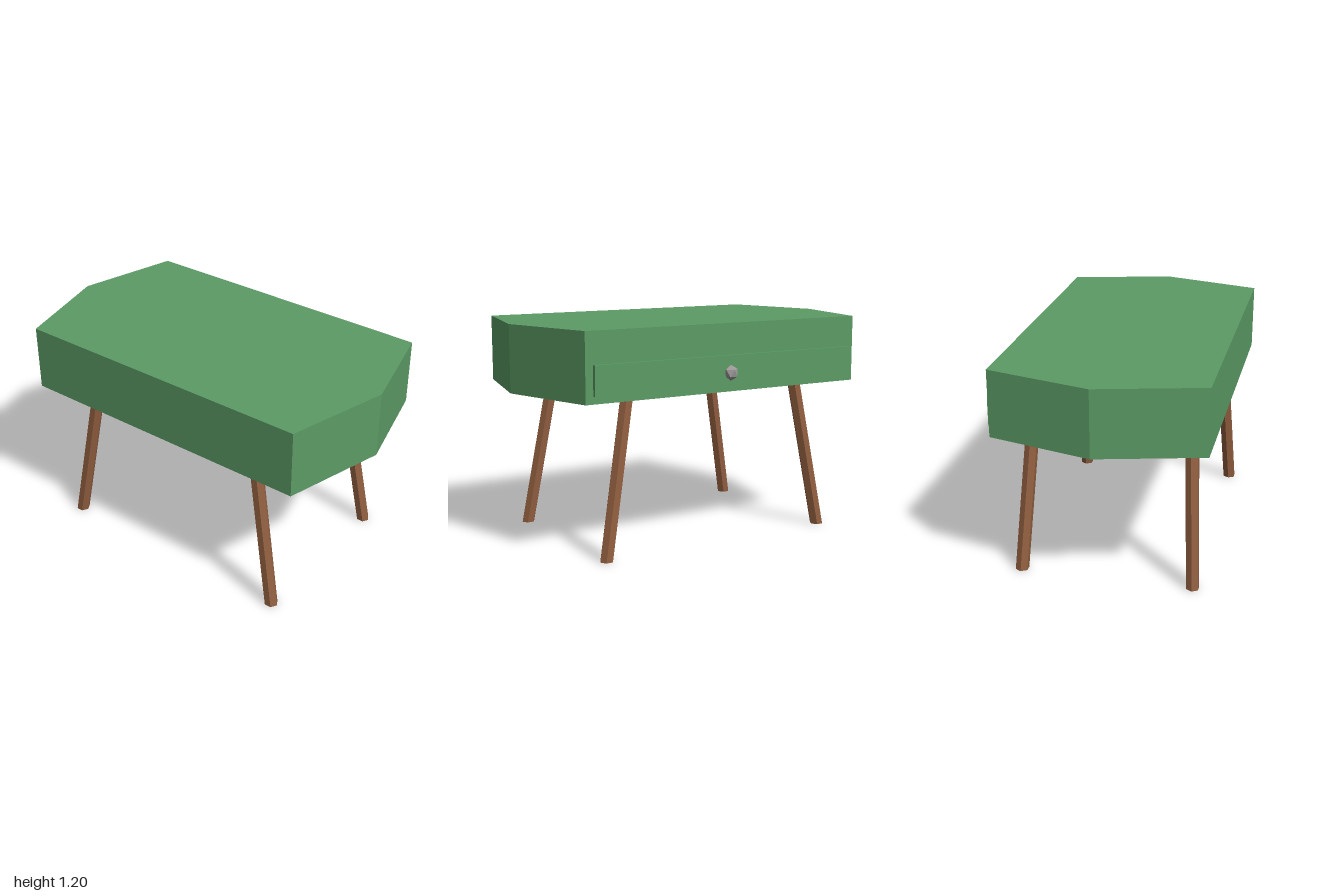
import * as THREE from 'three';

const green = new THREE.MeshStandardMaterial({ color: 0x5b9b65, flatShading: true });
green.name = 'greenPaint';
const brown = new THREE.MeshStandardMaterial({ color: 0x915f40, flatShading: true });
brown.name = 'brownWood';
const grey = new THREE.MeshStandardMaterial({ color: 0x9c9898, flatShading: true });
grey.name = 'greyMetal';

const CENTER_X = -0.03, BODY_BOTTOM = 0.84, BODY_TOP = 1.203;

function part(name, geometry, material, x = 0, y = 0, z = 0) {
  const mesh = new THREE.Mesh(geometry, material);
  mesh.name = name;
  mesh.position.set(x, y, z);
  return mesh;
}

// Six-sided leg, sheared outwards so both ends stay level
function legGeometry(sx, sz) {
  const g = new THREE.CylinderGeometry(0.0375, 0.0375, BODY_BOTTOM, 6);
  g.translate(0, BODY_BOTTOM / 2, 0);
  const p = g.attributes.position;
  for (let i = 0; i < p.count; i++) {
    const t = p.getY(i) / BODY_BOTTOM;
    p.setX(i, p.getX(i) + sx * THREE.MathUtils.lerp(0.47, 0.424, t));
    p.setZ(i, p.getZ(i) + sz * THREE.MathUtils.lerp(0.698, 0.545, t));
  }
  g.computeVertexNormals();
  return g;
}

export function createModel() {
  const table = new THREE.Group();
  table.name = 'drawerTable';

  // Hexagonal body with pointed ends
  const outline = new THREE.Shape([
    [-0.56, -0.855], [0, -1], [0.56, -0.855], [0.56, 0.855], [0, 1], [-0.56, 0.855],
  ].map(([x, y]) => new THREE.Vector2(x, y)));
  const bodyGeometry = new THREE.ExtrudeGeometry(outline, { depth: BODY_TOP - BODY_BOTTOM, bevelEnabled: false });
  bodyGeometry.rotateX(-Math.PI / 2);
  table.add(part('body', bodyGeometry, green, CENTER_X, BODY_BOTTOM, 0));

  // Drawer front, set slightly proud of the long side
  table.add(part('drawerFront', new THREE.BoxGeometry(0.04, 0.156, 1.624), green, 0.529, 0.957, 0));

  // Faceted knob with one corner pointing straight up
  const knobGeometry = new THREE.IcosahedronGeometry(0.043, 0);
  knobGeometry.rotateX(-Math.atan((1 + Math.sqrt(5)) / 2));
  knobGeometry.rotateY(Math.PI / 2);
  table.add(part('knob', knobGeometry, grey, 0.546, 0.942, 0));

  // Four splayed legs
  for (const [sx, side] of [[1, 'Left'], [-1, 'Right']]) {
    for (const [sz, end] of [[1, 'front'], [-1, 'back']]) {
      table.add(part(`${end}${side}Leg`, legGeometry(sx, sz), brown, CENTER_X, 0, 0));
    }
  }
  return table;
}
